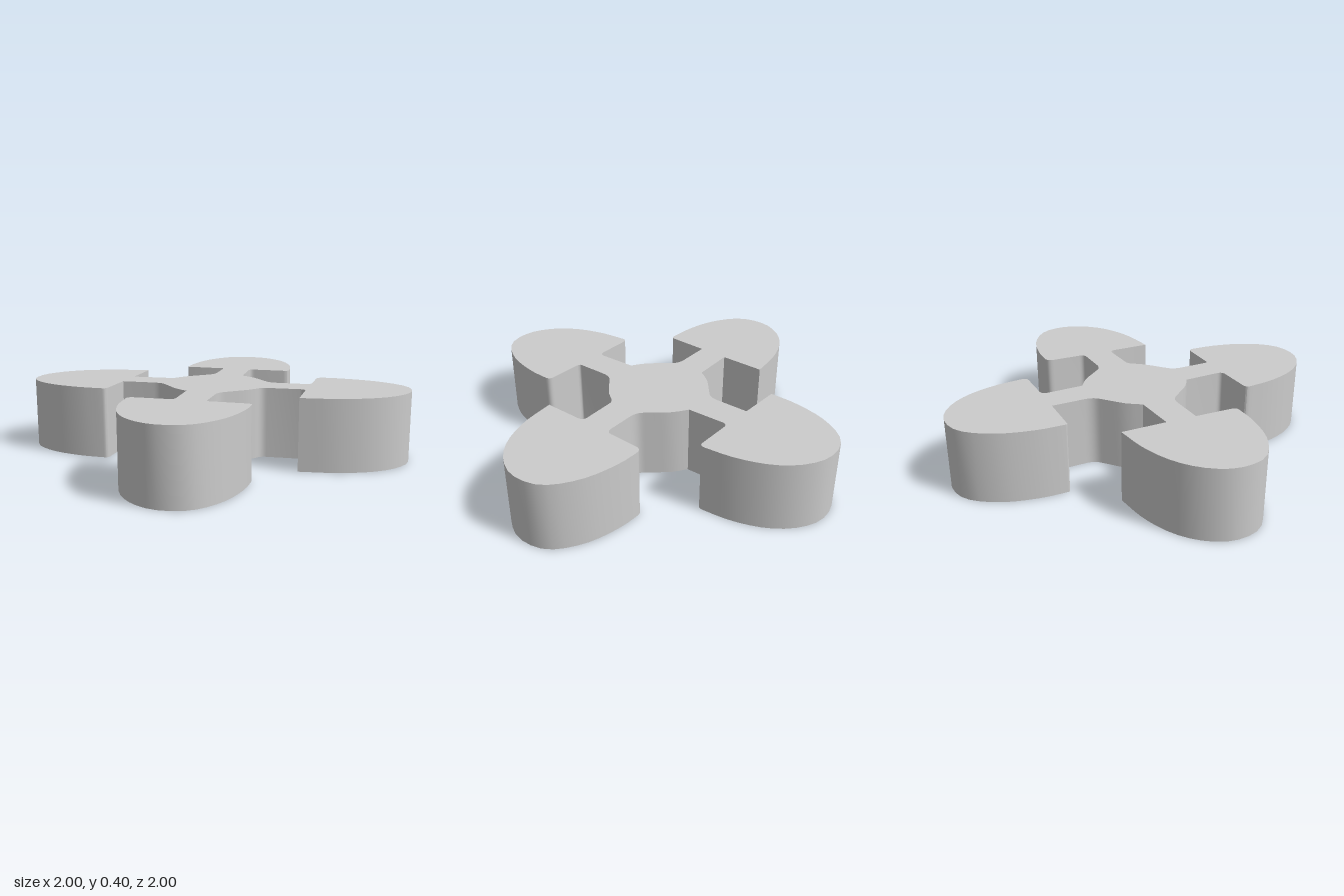
import * as THREE from 'three';
import { toCreasedNormals } from 'three/addons/utils/BufferGeometryUtils.js';

const HEIGHT = 0.4;

// Corners of one arm, clockwise: hub joint, shoulder, tip / tip, shoulder, hub joint
const leading = [[0.083, 0.303], [0.204, 0.51], [-0.005, 0.643]];
const trailing = [[0.57, 0.284], [0.35, 0.417], [0.23, 0.2]];
// Rounded outer edge between the two tips
const lobe = [[-0.005, 0.643], [0.09, 0.785], [0.25, 0.935], [0.43, 1], [0.58, 0.94],
  [0.66, 0.82], [0.687, 0.67], [0.655, 0.48], [0.57, 0.284]];
// Hub edge leading to the next arm
const hub = [[0.23, 0.2], [0.268, 0.115], [0.287, 0.01], [0.303, -0.083]];

// Corner rounding of each arm, in the order of leading then trailing
const rounding = [
  [0.05, 0, 0.012, 0.035, 0.035, 0],
  [0.05, 0.035, 0.045, 0, 0.035, 0.03],
  [0.05, 0.02, 0.035, 0.035, 0.035, 0],
  [0.05, 0, 0.025, 0, 0, 0],
];

// Points strictly between the ends of a smooth curve
function between(points, count) {
  const curve = new THREE.CatmullRomCurve3(points.map(([x, y]) => new THREE.Vector3(x, y, 0)));
  return curve.getSpacedPoints(count).slice(1, -1).map((p) => ({ p: new THREE.Vector2(p.x, p.y), cut: 0 }));
}

function createOutline() {
  const nodes = [];
  rounding.forEach((cuts, arm) => {
    const corner = ([x, y], i) => ({ p: new THREE.Vector2(x, y), cut: cuts[i] });
    const part = [
      ...leading.map(corner),
      ...between(lobe, 24),
      ...trailing.map((c, i) => corner(c, i + 3)),
      ...between(hub, 6),
    ];
    // Quarter turn per arm
    part.forEach((n) => n.p.rotateAround(new THREE.Vector2(), -arm * Math.PI / 2));
    nodes.push(...part);
  });

  // Replace each rounded corner by a short curve
  const outline = [];
  nodes.forEach(({ p, cut }, i) => {
    if (!cut) return outline.push(p);
    const toward = (q) => {
      const d = q.clone().sub(p);
      return p.clone().addScaledVector(d, Math.min(cut / d.length(), 0.8));
    };
    const prev = nodes[(i + nodes.length - 1) % nodes.length].p;
    const next = nodes[(i + 1) % nodes.length].p;
    outline.push(...new THREE.QuadraticBezierCurve(toward(prev), p, toward(next)).getPoints(5));
  });
  return outline;
}

export function createModel() {
  const group = new THREE.Group();
  group.name = 'fourArmRotor';

  // Flat plate with hub, four necks and four lobes
  const geometry = new THREE.ExtrudeGeometry(new THREE.Shape(createOutline()), {
    depth: HEIGHT, bevelEnabled: false,
  });
  geometry.rotateX(-Math.PI / 2);

  const plate = new THREE.Mesh(
    toCreasedNormals(geometry, 0.4),
    new THREE.MeshStandardMaterial({ color: 0xcccccc }),
  );
  plate.name = 'rotorPlate';
  group.add(plate);
  return group;
}
